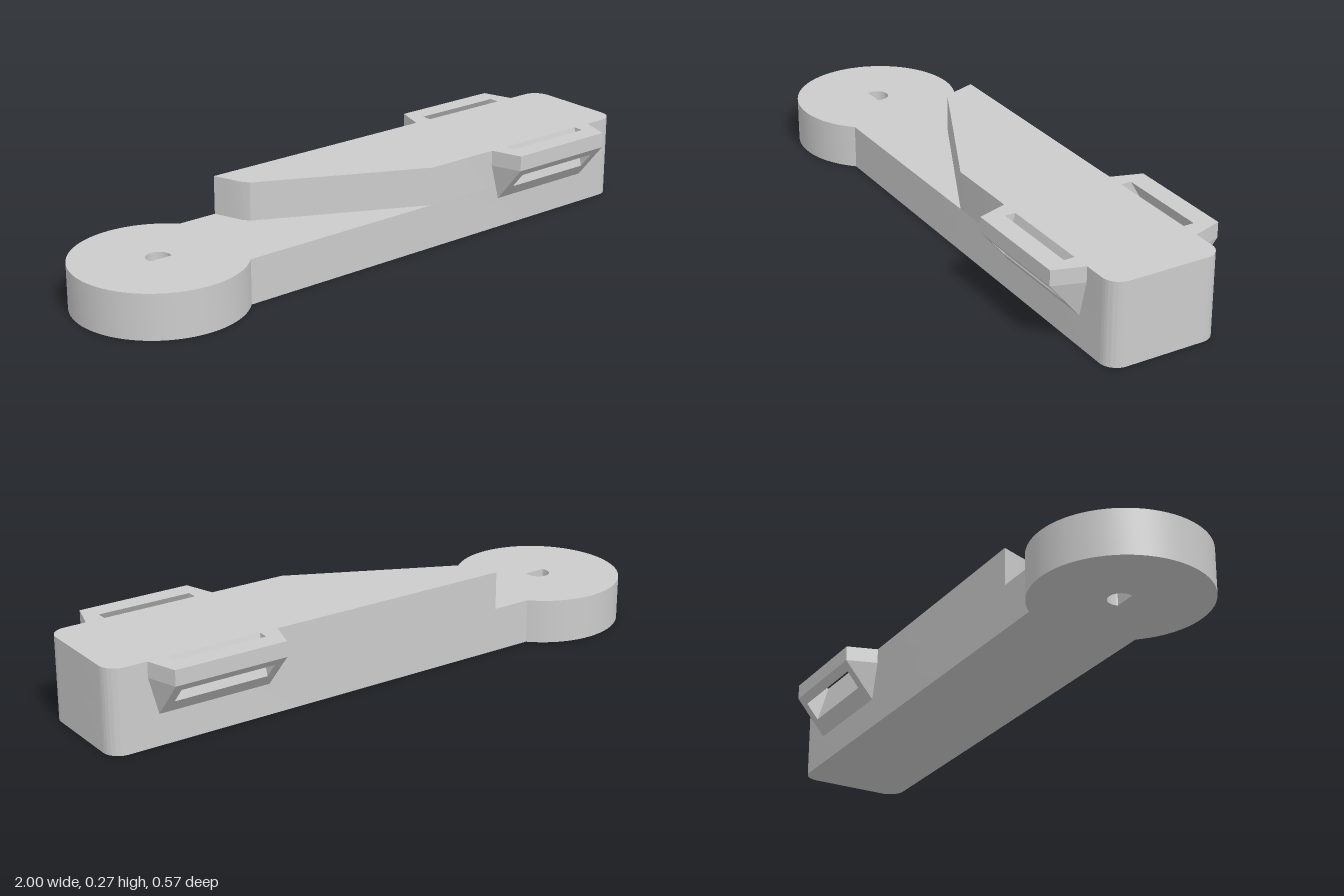
import * as THREE from 'three';
import { toCreasedNormals } from 'three/addons/utils/BufferGeometryUtils.js';
import { ConvexGeometry } from 'three/addons/geometries/ConvexGeometry.js';

const HALF = 0.185;   // half width of the arm
const STEP = 0.145;   // height of the lower layer
const TOP = 0.27;     // full height
const END_R = 0.055;  // corner radius at the square end
const material = new THREE.MeshStandardMaterial({ color: 0xcccccc });

function addMesh(parent, name, geometry) {
  const mesh = new THREE.Mesh(geometry, material);
  mesh.name = name;
  parent.add(mesh);
}

// Plan outline (x, -z) raised from y0 to y1
function slab(shape, y0, y1) {
  const g = new THREE.ExtrudeGeometry(shape, { depth: y1 - y0, bevelEnabled: false, curveSegments: 32 });
  g.rotateX(-Math.PI / 2);
  g.translate(0, y0, 0);
  return toCreasedNormals(g, 0.5);
}

// Rounded square end, from the front side round to the back side
function squareEnd(shape) {
  shape.lineTo(1 - END_R, -HALF);
  shape.absarc(1 - END_R, -HALF + END_R, END_R, -Math.PI / 2, 0, false);
  shape.absarc(1 - END_R, HALF - END_R, END_R, 0, Math.PI / 2, false);
}

// Lower layer: round eye with a pivot hole, running into the bar
function baseShape() {
  const cx = -0.728, r = 0.272, a = Math.asin(HALF / r);
  const shape = new THREE.Shape();
  shape.moveTo(cx + r * Math.cos(a), -HALF);
  squareEnd(shape);
  shape.lineTo(cx + r * Math.cos(a), HALF);
  shape.absarc(cx, 0, r, a, 2 * Math.PI - a, false);
  const hole = new THREE.Path();
  hole.moveTo(cx, -0.038);
  hole.absarc(cx, 0.002, 0.039, -0.4, Math.PI + 0.4, false);
  hole.closePath();
  shape.holes.push(hole);
  return shape;
}

// Upper layer with the slanted leading edge
function upperShape() {
  const shape = new THREE.Shape();
  shape.moveTo(0.18, -HALF);
  squareEnd(shape);
  shape.lineTo(-0.395, HALF);
  shape.lineTo(-0.378, 0.14);
  shape.lineTo(-0.36, 0.09);
  shape.lineTo(-0.344, 0.067);
  return shape;
}

// Side lug with a slanted strap slot; s is the side (+1 front, -1 back)
function makeLug(name, s) {
  const lug = new THREE.Group();
  lug.name = name;
  const hull = (pts) => new ConvexGeometry(pts.map(([x, y, z]) => new THREE.Vector3(x, y, s * z)));
  const prism = (x0, x1, profile) =>
    hull(profile.flatMap(([z, y]) => [[x0, y, z], [x1, y, z]]));
  const full = [[HALF, TOP], [0.285, TOP], [0.285, 0.22], [HALF, 0.1]];
  const x0 = 0.498, x1 = 0.812;

  // Solid, tapered cheeks on both ends of the slot
  for (const [inner, outer, root] of [[x0, 0.468, 0.436], [x1, 0.842, 0.874]]) {
    const cheek = full.flatMap(([z, y]) => [[inner, y, z], [outer, y, z]]);
    cheek.push([root, TOP, HALF], [root, 0.22, HALF]);
    addMesh(lug, 'lugCheek', hull(cheek));
  }
  // Bar outside the slot and ramp inside it
  addMesh(lug, 'slotBar', prism(x0, x1, [[0.22, TOP], [0.285, TOP], [0.285, 0.22], [0.264, 0.195]]));
  addMesh(lug, 'slotRamp', prism(x0, x1, [[HALF, TOP], [0.2225, 0.145], [HALF, 0.1]]));
  return lug;
}

export function createModel() {
  const model = new THREE.Group();
  model.name = 'leverArm';
  addMesh(model, 'baseArm', slab(baseShape(), 0, STEP));
  addMesh(model, 'upperArm', slab(upperShape(), STEP, TOP));
  model.add(makeLug('frontLug', 1), makeLug('backLug', -1));
  return model;
}
